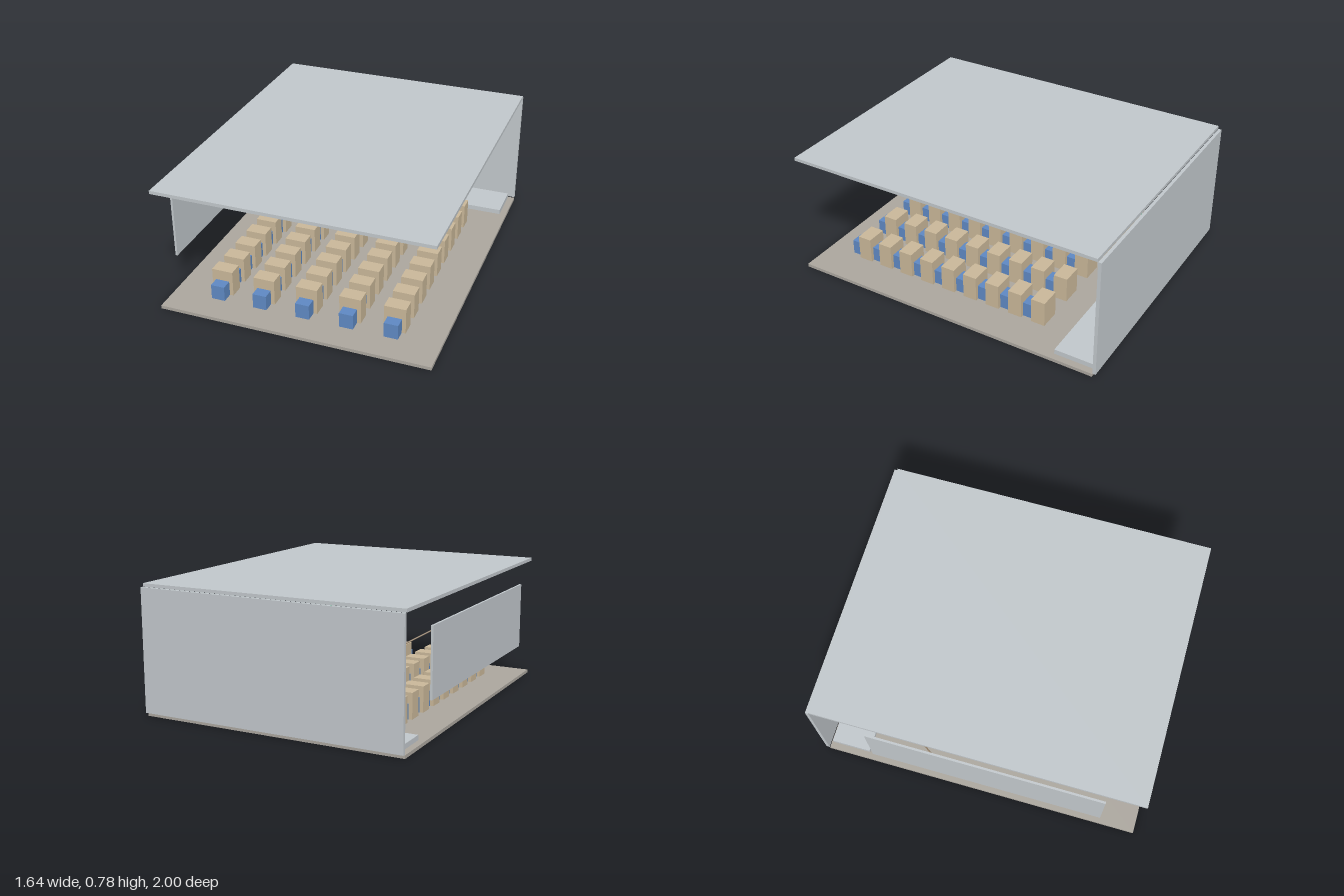
import * as THREE from 'three';

const paint = (name, color) => {
  const m = new THREE.MeshStandardMaterial({ color });
  m.name = name;
  return m;
};

export function createModel() {
  const room = new THREE.Group();
  room.name = 'classroom';
  const wallGrey = paint('wall grey', 0xc0c6ca);
  const floorGrey = paint('floor grey', 0xaaa59d);
  const deskTan = paint('desk tan', 0xc8b698);
  const chairBlue = paint('chair blue', 0x5e88c2);
  const boardGreen = paint('board green', 0x305742);
  const frameGreen = paint('frame green', 0x1f3f2e);
  const stripWhite = paint('strip white', 0xe8e8e4);
  const rodGreen = paint('rod green', 0x159a58);
  const rodTan = paint('rod tan', 0xa08c74);

  // Box given by its extents on each axis
  const box = (name, material, [x0, x1], [y0, y1], [z0, z1], parent = room) => {
    const mesh = new THREE.Mesh(new THREE.BoxGeometry(x1 - x0, y1 - y0, z1 - z0), material);
    mesh.position.set((x0 + x1) / 2, (y0 + y1) / 2, (z0 + z1) / 2);
    mesh.name = name;
    parent.add(mesh);
    return mesh;
  };

  // Thin straight rod between two points
  const rod = (name, material, from, to, radius) => {
    const a = new THREE.Vector3(...from), b = new THREE.Vector3(...to);
    const dir = b.clone().sub(a);
    const mesh = new THREE.Mesh(new THREE.CylinderGeometry(radius, radius, dir.length(), 10), material);
    mesh.position.copy(a).add(b).multiplyScalar(0.5);
    mesh.quaternion.setFromUnitVectors(new THREE.Vector3(0, 1, 0), dir.normalize());
    mesh.name = name;
    room.add(mesh);
  };

  // Shell: floor, ceiling, back wall, one hanging side panel
  const width = [-0.815, 0.82];
  box('floor', floorGrey, width, [0, 0.02], [-0.978, 1]);
  box('ceiling', wallGrey, width, [0.76, 0.78], [-0.978, 1]);
  box('backWall', wallGrey, width, [0.024, 0.76], [-1, -0.98]);
  box('sidePanel', wallGrey, [-0.825, -0.812], [0.23, 0.637], [-0.66, 0.775]);
  box('platform', wallGrey, [-0.775, 0.778], [0.02, 0.05], [-0.968, -0.723]);

  // Five columns by nine rows of desks, each with a chair at its front side
  const seating = new THREE.Group();
  seating.name = 'seating';
  room.add(seating);
  for (let col = -2; col <= 2; col++) {
    for (let row = 0; row < 9; row++) {
      const x = 0.001 + col * 0.266, z = 0.718 - row * 0.154;
      box('desk', deskTan, [x - 0.065, x + 0.065], [0.02, 0.178], [z - 0.044, z + 0.044], seating);
      box('chair', chairBlue, [x - 0.042, x + 0.042], [0.02, 0.112], [z + 0.03, z + 0.112], seating);
    }
  }

  // Sliding board: fixed outer panels, raised middle pair, rails and strips
  const board = new THREE.Group();
  board.name = 'board';
  board.position.x = 0.003;
  room.add(board);
  for (const s of [-1, 1]) {
    const span = (a, b) => (s > 0 ? [a, b] : [-b, -a]);
    box('outerPanel', boardGreen, span(0.2, 0.404), [0.202, 0.421], [-0.979, -0.968], board);
    box('middlePanel', boardGreen, span(0, 0.208), [0.202, 0.421], [-0.972, -0.961], board);
  }
  box('topRail', frameGreen, [-0.408, 0.408], [0.428, 0.441], [-0.98, -0.955], board);
  box('bottomRail', frameGreen, [-0.408, 0.408], [0.178, 0.194], [-0.98, -0.955], board);
  box('topStrip', stripWhite, [-0.4, 0.4], [0.421, 0.428], [-0.979, -0.971], board);
  box('bottomStrip', stripWhite, [-0.4, 0.4], [0.194, 0.202], [-0.979, -0.971], board);
  box('topCatch', frameGreen, [-0.027, 0.027], [0.436, 0.445], [-0.976, -0.957], board);
  box('bottomCatch', frameGreen, [-0.027, 0.027], [0.186, 0.198], [-0.968, -0.953], board);

  // Three rods meeting at one spot on the board
  const hub = [-0.305, 0.308, -0.963];
  rod('ceilingRod', rodGreen, hub, [0.123, 0.75, 0.018], 0.0045);
  rod('panelRod', rodTan, hub, [-0.81, 0.612, -0.26], 0.004);
  rod('deskRod', rodTan, hub, [-0.53, 0.257, -0.36], 0.004);

  return room;
}
